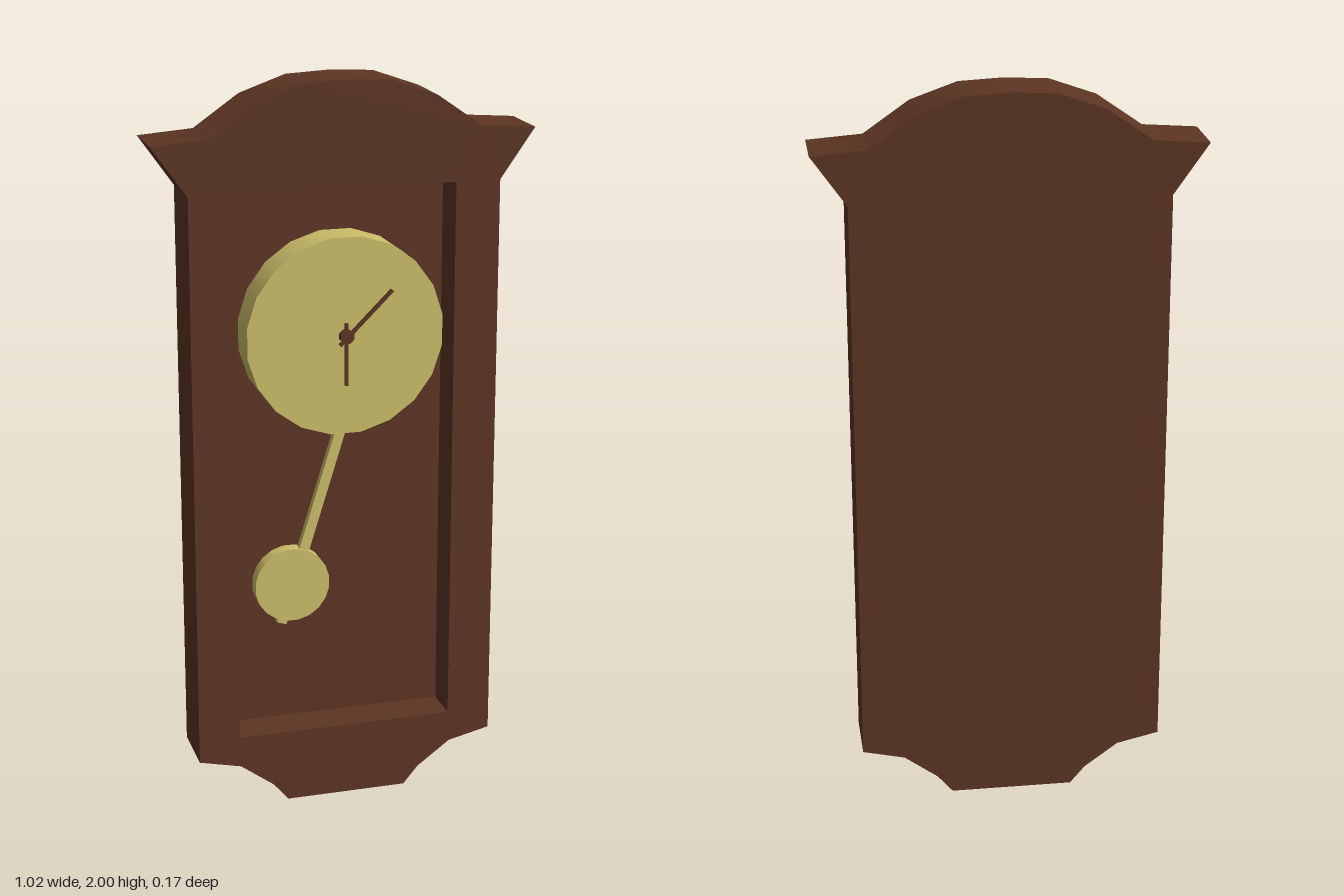
import * as THREE from 'three';
import { toCreasedNormals } from 'three/addons/utils/BufferGeometryUtils.js';

const wood = new THREE.MeshStandardMaterial({ color: 0x5c3523 });
wood.name = 'wood';
const brass = new THREE.MeshStandardMaterial({ color: 0xcbbd69 });
brass.name = 'brass';

// Right half of the case outline, bottom to top; mirrored for the left half
const HALF = [
  [0.168, 0], [0.21, 0.05], [0.302, 0.118], [0.418, 0.145], [0.418, 1.72],
  [0.512, 1.854], [0.365, 1.865], [0.243, 1.95], [0.118, 1.994],
];

function caseShape() {
  const left = HALF.map(([x, y]) => [-x, y]).reverse();
  return new THREE.Shape([...HALF, [0, 2], ...left].map(([x, y]) => new THREE.Vector2(x, y)));
}

function slab(name, shape, z0, z1) {
  const geo = new THREE.ExtrudeGeometry(shape, { depth: z1 - z0, bevelEnabled: false });
  geo.translate(0, 0, z0);
  const mesh = new THREE.Mesh(toCreasedNormals(geo, 0.6), wood);
  mesh.name = name;
  return mesh;
}

// Round disc facing the front, with a flat edge at the top
function disc(name, x, y, r, z0, z1, sides, material) {
  const geo = new THREE.CylinderGeometry(r, r, z1 - z0, sides);
  geo.rotateY(Math.PI / sides).rotateX(Math.PI / 2);
  const mesh = new THREE.Mesh(geo, material);
  mesh.position.set(x, y, (z0 + z1) / 2);
  mesh.name = name;
  return mesh;
}

// Straight bar between two points in the plane of the front
function bar(name, [x0, y0], [x1, y1], width, z0, z1, material) {
  const length = Math.hypot(x1 - x0, y1 - y0);
  const mesh = new THREE.Mesh(new THREE.BoxGeometry(width, length, z1 - z0), material);
  mesh.position.set((x0 + x1) / 2, (y0 + y1) / 2, (z0 + z1) / 2);
  mesh.rotation.z = Math.atan2(y1 - y0, x1 - x0) - Math.PI / 2;
  mesh.name = name;
  return mesh;
}

export function createModel() {
  const clock = new THREE.Group();
  clock.name = 'wallClock';

  // Solid back board and a front frame with a deep rectangular opening
  const frame = caseShape();
  frame.holes.push(new THREE.Path([
    [-0.305, 0.205], [-0.305, 1.72], [0.297, 1.72], [0.297, 0.205],
  ].map(([x, y]) => new THREE.Vector2(x, y))));
  clock.add(slab('backBoard', caseShape(), -0.088, -0.03));
  clock.add(slab('frontFrame', frame, -0.03, 0.08));

  // Dial
  clock.add(disc('dial', 0, 1.323, 0.27, -0.03, 0.072, 20, brass));

  // Hands and hub
  const hands = new THREE.Group();
  hands.name = 'hands';
  hands.add(
    disc('hub', 0, 1.325, 0.02, 0.07, 0.087, 8, wood),
    bar('minuteHand', [-0.018, 1.301], [0.125, 1.442], 0.009, 0.074, 0.083, wood),
    bar('hourHand', [0, 1.36], [0, 1.19], 0.009, 0.072, 0.081, wood),
  );
  clock.add(hands);

  // Swinging pendulum
  const pendulum = new THREE.Group();
  pendulum.name = 'pendulum';
  pendulum.add(
    bar('rod', [0.005, 1.11], [-0.177, 0.522], 0.028, 0.036, 0.058, brass),
    disc('bob', -0.148, 0.634, 0.104, 0.028, 0.066, 20, brass),
  );
  clock.add(pendulum);

  return clock;
}
